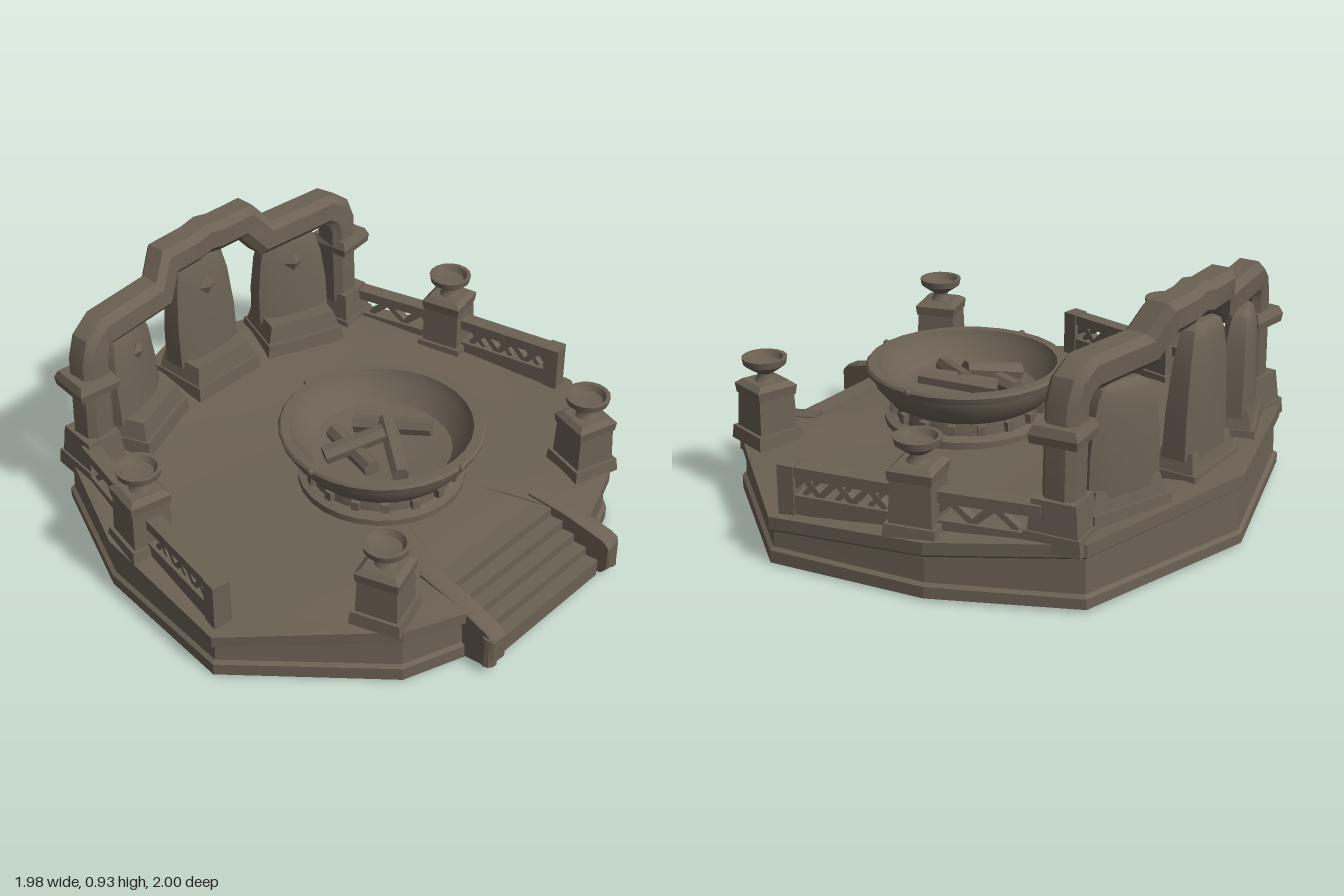
import * as THREE from 'three';
import { toCreasedNormals } from 'three/addons/utils/BufferGeometryUtils.js';

const stone = new THREE.MeshStandardMaterial({ color: 0x6b6154 });
stone.name = 'weathered stone';
const V = (x, y, z) => new THREE.Vector3(x, y, z);

export function createModel() {
  const root = new THREE.Group();
  root.name = 'firePitShrine';

  const add = (name, geo, parent = root, crease = 0.6) => {
    const mesh = new THREE.Mesh(toCreasedNormals(geo, crease), stone);
    mesh.name = name;
    parent.add(mesh);
    return mesh;
  };
  const group = (name, x, z, turn) => {
    const g = new THREE.Group();
    g.name = name;
    g.position.set(x, 0, z);
    g.rotation.y = turn;
    root.add(g);
    return g;
  };
  // Skin a list of closed rings
  const loft = (rings) => {
    const n = rings[0].length, index = [];
    for (let i = 0; i < rings.length - 1; i++) {
      for (let j = 0; j < n; j++) {
        const a = i * n + j, b = i * n + (j + 1) % n;
        index.push(a, b + n, b, a, a + n, b + n);
      }
    }
    const geo = new THREE.BufferGeometry().setFromPoints(rings.flat());
    geo.setIndex(index);
    geo.computeVertexNormals();
    return geo;
  };
  // Box lying between two points
  const bar = (name, a, b, w, h, parent = root) => {
    const m = add(name, new THREE.BoxGeometry(w, h, a.distanceTo(b)), parent);
    m.position.copy(a).add(b).multiplyScalar(0.5);
    m.lookAt(b);
    return m;
  };
  // Square block with tapering sides, from y0 to y1
  const block = (name, wx, wz, y0, y1, taper, parent) => {
    const geo = new THREE.CylinderGeometry(taper * Math.SQRT1_2, Math.SQRT1_2, 1, 4);
    geo.rotateY(Math.PI / 4).scale(wx, y1 - y0, wz).translate(0, (y0 + y1) / 2, 0);
    return add(name, geo, parent);
  };
  const lathe = (pts, sides) =>
    new THREE.LatheGeometry(pts.map(([r, y]) => new THREE.Vector2(r, y)), sides);
  // Octagon with chamfered corners
  const octagon = [[1, -0.55], [1, 0.55], [0.6, 1], [-0.6, 1], [-1, 0.55], [-1, -0.55], [-0.6, -1], [0.6, -1]];

  // Platform: irregular outline (x, rim height, z), mirrored, with a notch for the stairs
  const half = [[0.72, 0.21, 0.27], [0.87, 0.205, 0.33], [0.78, 0.225, 0.58], [0.29, 0.18, 1],
    [-0.3, 0.215, 0.93], [-0.79, 0.25, 0.71]];
  const outline = [...half, [-0.99, 0.28, 0], ...half.map(([x, y, z]) => [x, y, -z]).reverse()];
  const ring = (s, height) => outline.map(([x, y, z]) => V(x * s, height(y, x), z * s));
  const floorY = (y, x) => 0.011 - 0.008 * x;
  add('platform', loft([
    ring(0, () => 0.04), ring(1, floorY), ring(1, () => 0.055), ring(0.985, () => 0.065),
    ring(0.98, (y) => y - 0.06), ring(1, (y) => y - 0.045), ring(1, (y) => y),
    ring(0.9, (y) => y + 0.008), ring(0.68, (y) => 0.23 + (y - 0.21) * 0.2), ring(0, () => 0.23),
  ]), root, 0.25);

  // Stairs and their side walls
  for (let i = 0; i < 5; i++) {
    const x1 = 0.95 - i * 0.052, top = 0.08 + i * 0.034;
    const step = add('step', new THREE.BoxGeometry(x1 - 0.66, top - 0.01, 0.58));
    step.position.set((x1 + 0.66) / 2, (top + 0.01) / 2, 0);
  }
  const cheek = new THREE.Shape([[0.64, 0.03], [0.87, 0.01], [0.96, 0.03], [0.985, 0.06],
    [0.985, 0.15], [0.96, 0.175], [0.8, 0.215], [0.64, 0.235]].map(([x, y]) => new THREE.Vector2(x - 0.64, y)));
  for (const s of [-1, 1]) {
    const wall = add('stairSideWall', new THREE.ExtrudeGeometry(cheek,
      { depth: 0.05, bevelEnabled: true, bevelSize: 0.006, bevelThickness: 0.01, bevelSegments: 1 }).translate(0, 0, -0.025));
    wall.position.set(0.64, 0, s * 0.3);
    wall.rotation.y = -s * 0.08;
    const scroll = add('stairScroll', new THREE.CylinderGeometry(0.025, 0.03, 0.12, 10));
    scroll.position.set(0.96, 0.1, s * 0.345);
  }

  // Fire bowl on its round foot
  const pit = group('firePit', 0.16, 0, 0);
  add('fireBowl', lathe([[0.31, 0.18], [0.31, 0.255], [0.27, 0.265], [0.265, 0.31], [0.3, 0.33], [0.345, 0.385],
    [0.352, 0.42], [0.372, 0.43], [0.378, 0.45], [0.37, 0.46], [0.335, 0.46], [0.32, 0.42], [0.26, 0.355],
    [0.12, 0.335], [0, 0.335]], 28), pit);
  for (let i = 0; i < 16; i++) {
    const a = (i / 16) * Math.PI * 2;
    const stud = add('footStud', new THREE.BoxGeometry(0.03, 0.035, 0.03), pit);
    stud.position.set(Math.cos(a) * 0.275, 0.29, Math.sin(a) * 0.275);
    stud.rotation.y = -a;
    if (i % 4 === 0) {
      const knob = add('rimKnob', new THREE.SphereGeometry(0.013, 8, 6), pit);
      knob.position.set(Math.cos(a) * 0.375, 0.452, Math.sin(a) * 0.375);
    }
  }
  const logs = [[-0.14, 0.38, -0.01, 0.12, 0.42, -0.14], [-0.04, 0.41, -0.07, 0.18, 0.37, 0.1],
    [-0.1, 0.37, 0.2, 0.01, 0.42, 0.0], [-0.18, 0.36, 0.06, 0.08, 0.37, 0.14]];
  for (const [ax, ay, az, bx, by, bz] of logs) {
    const a = V(ax, ay, az), b = V(bx, by, bz);
    const log = add('log', new THREE.CylinderGeometry(0.033, 0.036, a.distanceTo(b), 7).rotateX(Math.PI / 2), pit);
    log.position.copy(a).add(b).multiplyScalar(0.5);
    log.lookAt(b.add(V(0.16, 0, 0)));
  }

  // Lamp pillars
  const lampPillar = (x, z, turn, y0) => {
    const g = group('lampPillar', x, z, turn);
    block('pillarFoot', 0.19, 0.19, y0, y0 + 0.05, 0.95, g);
    block('pillarShaft', 0.155, 0.155, y0 + 0.05, 0.405, 0.94, g);
    block('pillarCap', 0.155, 0.155, 0.4, 0.435, 1.05, g);
    block('pillarCapTop', 0.163, 0.163, 0.435, 0.452, 0.75, g);
    add('lampBowl', lathe([[0.045, 0.445], [0.03, 0.465], [0.028, 0.48], [0.05, 0.495], [0.078, 0.515],
      [0.083, 0.54], [0.068, 0.54], [0.055, 0.518], [0, 0.508]], 16), g);
  };

  // Side railings with crossed braces
  const railing = (s) => {
    const spans = [[V(-0.63, 0, s * 0.725), V(-0.24, 0, s * 0.825), 2], [V(-0.2, 0, s * 0.835), V(0.27, 0, s * 0.93), 3]];
    for (const [a, b, count] of spans) {
      const at = (t, y) => a.clone().lerp(b, t).setY(y);
      bar('handRail', at(0, 0.342), at(1, 0.342), 0.06, 0.04);
      bar('railCurb', at(0, 0.225), at(1, 0.225), 0.06, 0.07);
      const t0 = 0.2, step = 0.76 / count;
      for (let i = 0; i < count; i++) {
        const u = t0 + i * step, v = u + step;
        bar('railBrace', at(u, 0.26), at(u + step / 2, 0.325), 0.035, 0.022);
        bar('railBrace', at(u + step / 2, 0.325), at(v, 0.26), 0.035, 0.022);
        if (count === 3) bar('railBrace', at(u, 0.325), at(u + step / 2, 0.26), 0.03, 0.018);
      }
    }
    const end = group('railEndPost', 0.25, s * 0.926, s * -0.2);
    block('railPost', 0.06, 0.07, 0.17, 0.365, 1, end);
  };
  for (const s of [-1, 1]) {
    railing(s);
    lampPillar(-0.22, s * 0.835, s * -0.23, 0.2);
    lampPillar(0.67, s * 0.55, s * 0.3, 0.22);
  }

  // Rear arch: swept along a stepped path (x, y, z), mirrored
  const side = [[-0.67, 0.34, 0.66], [-0.67, 0.69, 0.65], [-0.675, 0.745, 0.63], [-0.685, 0.777, 0.58],
    [-0.72, 0.772, 0.27], [-0.755, 0.862, 0.2], [-0.76, 0.862, 0.06]].map((p) => V(...p));
  const path = [...side.map((p) => V(p.x, p.y, -p.z)), V(-0.76, 0.875, 0), ...side.slice().reverse()];
  const flat = (v) => v.setX(0).normalize();
  const archRings = path.map((p, i) => {
    const inDir = flat(path[Math.max(i, 1)].clone().sub(path[Math.max(i, 1) - 1]));
    const k = Math.min(i, path.length - 2);
    const outDir = flat(path[k + 1].clone().sub(path[k]));
    const t = inDir.clone().add(outDir).normalize();
    const r = 0.062 / t.dot(outDir);
    return octagon.map(([a, b]) => V(p.x + a * 0.062, p.y - b * r * t.z, p.z + b * r * t.y));
  });
  add('rearArch', loft(archRings));
  for (const s of [-1, 1]) {
    const foot = group('archFoot', -0.67, s * 0.67, s * -0.12);
    block('archPlinth', 0.21, 0.18, 0.21, 0.27, 0.95, foot);
    block('archPedestal', 0.18, 0.155, 0.27, 0.38, 0.88, foot);
    block('archCollar', 0.165, 0.16, 0.575, 0.605, 1.05, foot);
    block('archCollarTop', 0.175, 0.17, 0.605, 0.635, 0.85, foot);
  }

  // Standing stones: local +x faces the fire
  const standingStone = (x, z, turn, h) => {
    const g = group('standingStone', x, z, turn);
    block('stonePlinth', 0.26, 0.34, 0.22, 0.3, 0.95, g);
    block('stonePedestal', 0.22, 0.31, 0.3, 0.37, 0.88, g);
    const levels = [[0, 0.075, 0.15], [0.35, 0.068, 0.148], [0.7, 0.058, 0.132], [0.88, 0.048, 0.112],
      [0.96, 0.038, 0.094], [1, 0.02, 0.06], [1, 0, 0]];
    const tall = h - 0.34;
    add('stoneSlab', loft(levels.map(([t, d, w]) =>
      octagon.map(([a, b]) => V(-0.03 - t * 0.015 + a * d, 0.34 + t * tall, b * w)))), g);
    const boss = add('stoneBoss', new THREE.OctahedronGeometry(1).scale(0.02, 0.045, 0.04), g);
    boss.position.set(0.02, 0.34 + tall * 0.68, 0);
  };
  standingStone(-0.76, 0, 0, 0.81);
  for (const s of [-1, 1]) standingStone(-0.7, s * 0.42, s * 0.36, 0.72);

  return root;
}
